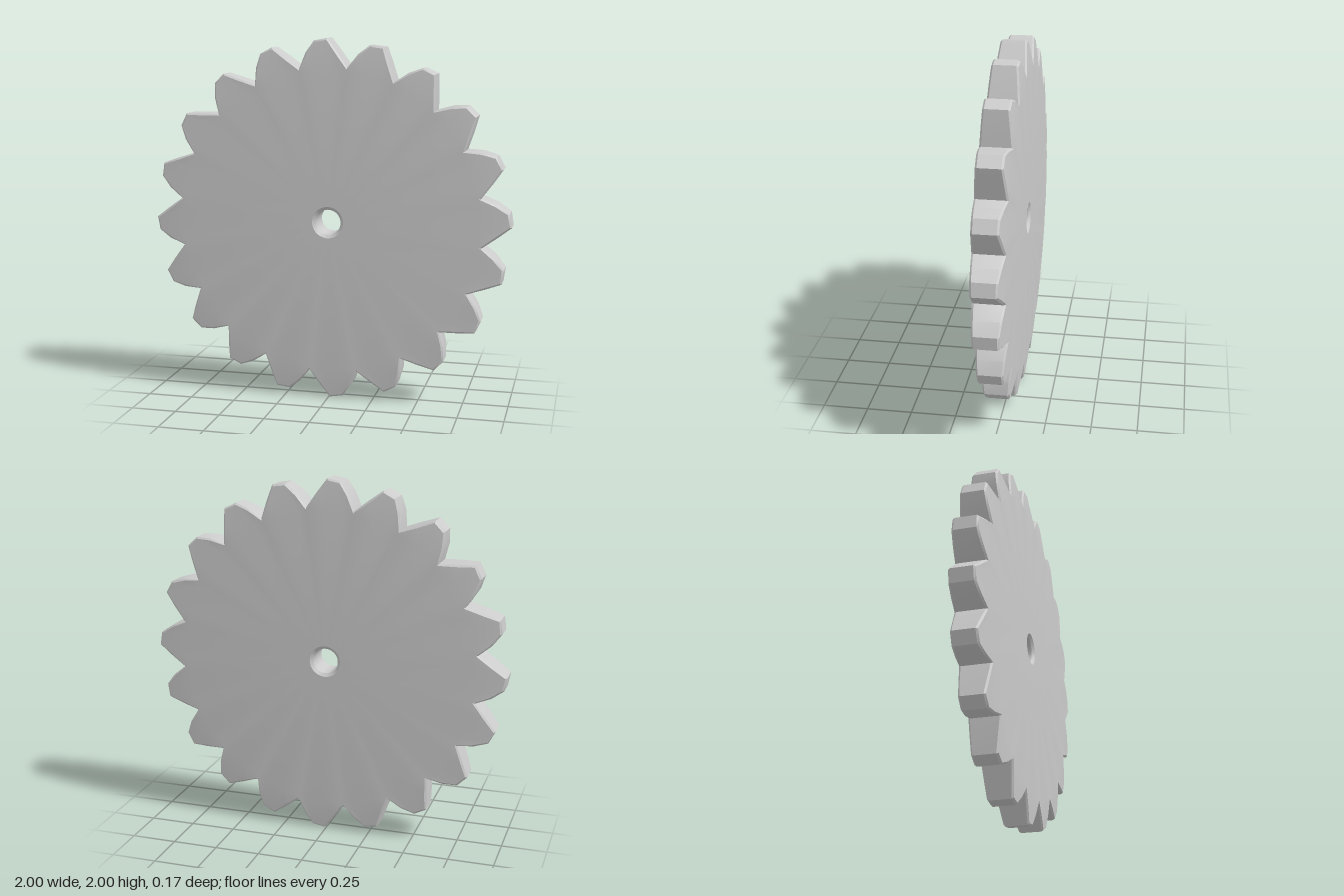
import * as THREE from 'three';
import { toCreasedNormals } from 'three/addons/utils/BufferGeometryUtils.js';

const TEETH = 20;
const FACE = 0.086; // half thickness of the disc

// One tooth outline: [angle offset in degrees, radius], counter-clockwise
const TOOTH = [[-9.8, 0.85], [-5.5, 0.93], [-2.2, 1.0], [2.1, 0.99], [5.2, 0.93]];

// Teeth get thinner towards their tips
const halfDepth = (r) => FACE - Math.max(0, r - 0.86) * 0.12;

export function createModel() {
  const group = new THREE.Group();

  // Each column is a closed section: front hole -> front face -> rim -> back face
  const columns = [];
  for (let t = 0; t < TEETH; t++) {
    const centre = 2.6 + (t * 360) / TEETH;
    for (const [offset, r] of TOOTH) {
      const a = THREE.MathUtils.degToRad(centre + offset);
      const inset = THREE.MathUtils.degToRad(centre + offset * (Math.abs(offset) > 9 ? 1 : 0.93));
      const half = [
        [a, 0.07, 0.072],                       // hole wall
        [a, 0.087, FACE],                       // hole chamfer
        [a, 0.83, FACE],                        // disc face
        [inset, r - 0.01, halfDepth(r)],        // tooth face
        [a, r, halfDepth(r) - 0.01],            // bevelled tooth edge
      ];
      const back = half.map(([b, q, z]) => [b, q, -z]).reverse();
      columns.push([...half, ...back]);
    }
  }

  const rings = columns[0].length;
  const positions = columns.flat().flatMap(([a, r, z]) => [r * Math.cos(a), 1 + r * Math.sin(a), z]);
  const index = [];
  columns.forEach((_, j) => {
    const k = (j + 1) % columns.length;
    for (let i = 0; i < rings; i++) {
      const n = (i + 1) % rings;
      const a = j * rings + i, b = j * rings + n, c = k * rings + n, d = k * rings + i;
      index.push(a, b, c, a, c, d);
    }
  });

  const geometry = new THREE.BufferGeometry();
  geometry.setAttribute('position', new THREE.Float32BufferAttribute(positions, 3));
  geometry.setIndex(index);

  const gear = new THREE.Mesh(
    toCreasedNormals(geometry, THREE.MathUtils.degToRad(30)),
    new THREE.MeshStandardMaterial({ color: 0xcccccc })
  );
  gear.name = 'gearWheel';
  group.add(gear);
  return group;
}
